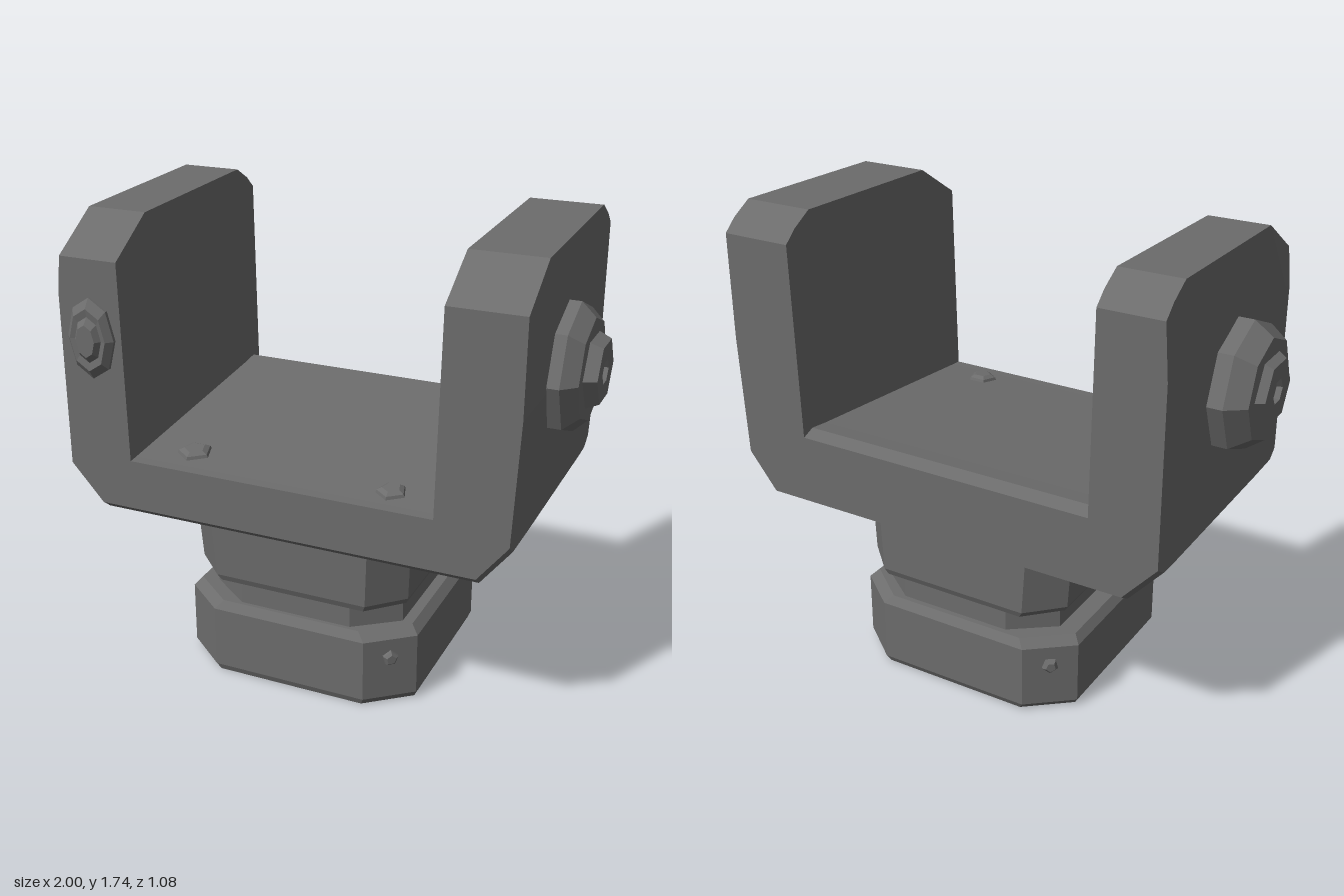
import * as THREE from 'three';

const steel = new THREE.MeshStandardMaterial({ color: 0x6c6c6c, flatShading: true });
steel.name = 'dark grey steel';

// Skin a stack of matching counter-clockwise rings, given back to front along z, and cap both ends.
function loft(rings) {
  const pos = [];
  const tri = (...pts) => pts.forEach((p) => pos.push(p[0], p[1], p[2]));
  for (let k = 0; k < rings.length - 1; k++) {
    const a = rings[k], b = rings[k + 1];
    for (let i = 0; i < a.length; i++) {
      const j = (i + 1) % a.length;
      tri(a[i], a[j], b[j]);
      tri(a[i], b[j], b[i]);
    }
  }
  const first = rings[0], last = rings[rings.length - 1];
  const cap = (ring) => THREE.ShapeUtils.triangulateShape(ring.map((p) => new THREE.Vector2(p[0], p[1])), []);
  cap(first).forEach(([i, j, k]) => tri(first[k], first[j], first[i]));
  cap(last).forEach(([i, j, k]) => tri(last[i], last[j], last[k]));
  const geo = new THREE.BufferGeometry();
  geo.setAttribute('position', new THREE.Float32BufferAttribute(pos, 3));
  geo.computeVertexNormals();
  return geo;
}

function add(parent, name, geo) {
  const mesh = new THREE.Mesh(geo, steel);
  mesh.name = name;
  parent.add(mesh);
  return mesh;
}

// U-shaped fork section at depth z
function forkRing(z, bottom, floor, top) {
  return [
    [-0.72, bottom], [0.73, bottom], [0.84, bottom + 0.14], [0.86, 1.25], [0.86, top],
    [0.59, top], [0.575, floor], [-0.59, floor], [-0.6, top], [-0.83, top],
    [-0.845, 1.45], [-0.845, bottom + 0.14],
  ].map(([x, y]) => [x, y, z]);
}

// Block with cut corners; each level is [y, left, right, back, front]
function cutBlock(levels, cx, cz) {
  const rings = levels.map(([y, l, r, b, f]) => [
    [l + cx, -f], [r - cx, -f], [r, -f + cz], [r, -b - cz],
    [r - cx, -b], [l + cx, -b], [l, -b - cz], [l, -f + cz],
  ].map(([x, v]) => [x, v, y]));
  return loft(rings).rotateX(-Math.PI / 2);
}

// Turned, few-sided part from [radius, height] pairs
const turned = (pts, sides) =>
  new THREE.LatheGeometry(pts.map(([r, h]) => new THREE.Vector2(r, h)), sides);

// Washer and socketed head, built along +y
function bolt(name, washerH, headH) {
  const g = new THREE.Group();
  g.name = name;
  add(g, 'washer', turned([[0.235, -0.02], [0.235, washerH * 0.45], [0.185, washerH], [0, washerH]], 8));
  add(g, 'boltHead', turned([
    [0.14, washerH - 0.01], [0.115, washerH + headH], [0.045, washerH + headH],
    [0.04, washerH + headH - 0.02], [0, washerH + headH - 0.02],
  ], 6));
  return g;
}

export function createModel() {
  const model = new THREE.Group();
  model.name = 'forkBracket';

  // Fork with clipped arm tops and a floor that rises to the back
  add(model, 'fork', loft([
    forkRing(-0.54, 0.66, 0.92, 1.645),
    forkRing(-0.49, 0.628, 0.94, 1.69),
    forkRing(-0.41, 0.625, 0.93, 1.737),
    forkRing(0.285, 0.625, 0.868, 1.72),
    forkRing(0.45, 0.628, 0.853, 1.615),
    forkRing(0.49, 0.66, 0.85, 1.59),
  ]));

  // Stepped pedestal
  add(model, 'neck', cutBlock([
    [0.385, -0.4, 0.41, -0.45, 0.4], [0.41, -0.415, 0.42, -0.46, 0.41], [0.64, -0.43, 0.43, -0.46, 0.42],
  ], 0.12, 0.12));
  add(model, 'groove', cutBlock([[0.27, -0.37, 0.39, -0.43, 0.38], [0.4, -0.37, 0.39, -0.43, 0.38]], 0.16, 0.12));
  add(model, 'foot', cutBlock([
    [0, -0.45, 0.45, -0.46, 0.41], [0.025, -0.465, 0.46, -0.473, 0.42],
    [0.265, -0.465, 0.46, -0.473, 0.42], [0.295, -0.44, 0.43, -0.45, 0.395],
  ], 0.16, 0.13));

  // Pivot bolts on the outer sides of the arms
  const leftBolt = bolt('leftPivotBolt', 0.095, 0.045);
  leftBolt.rotation.z = -Math.PI / 2;
  leftBolt.position.set(0.86, 1.27, 0);
  const rightBolt = bolt('rightPivotBolt', 0.125, 0.03);
  rightBolt.rotation.z = Math.PI / 2;
  rightBolt.position.set(-0.845, 1.25, 0.01);
  model.add(leftBolt, rightBolt);

  // Oval stud on the front of the right arm
  const stud = add(model, 'frontStud', turned([
    [0.15, -0.02], [0.15, 0.012], [0.115, 0.035], [0.085, 0.03], [0.06, 0.05], [0, 0.05],
  ], 8));
  stud.rotation.x = Math.PI / 2;
  stud.scale.x = 0.63;
  stud.position.set(-0.715, 1.305, 0.49);

  // Small rivets on the floor and on two corners of the foot
  const rivet = (name, r, x, y, z, dir) => {
    const m = add(model, name, turned([[r, -0.015], [r * 0.85, 0.01], [r * 0.55, 0.02], [0, 0.02]], 5));
    m.position.set(x, y, z);
    m.quaternion.setFromUnitVectors(new THREE.Vector3(0, 1, 0), dir.normalize());
  };
  rivet('rightFloorRivet', 0.072, -0.4, 0.863, 0.35, new THREE.Vector3(0, 1, 0.08));
  rivet('leftFloorRivet', 0.062, 0.38, 0.861, 0.37, new THREE.Vector3(0, 1, 0.08));
  rivet('frontFootRivet', 0.034, 0.38, 0.19, 0.355, new THREE.Vector3(0.13, 0, 0.16));
  rivet('backFootRivet', 0.034, -0.385, 0.19, -0.408, new THREE.Vector3(-0.13, 0, -0.16));

  return model;
}
